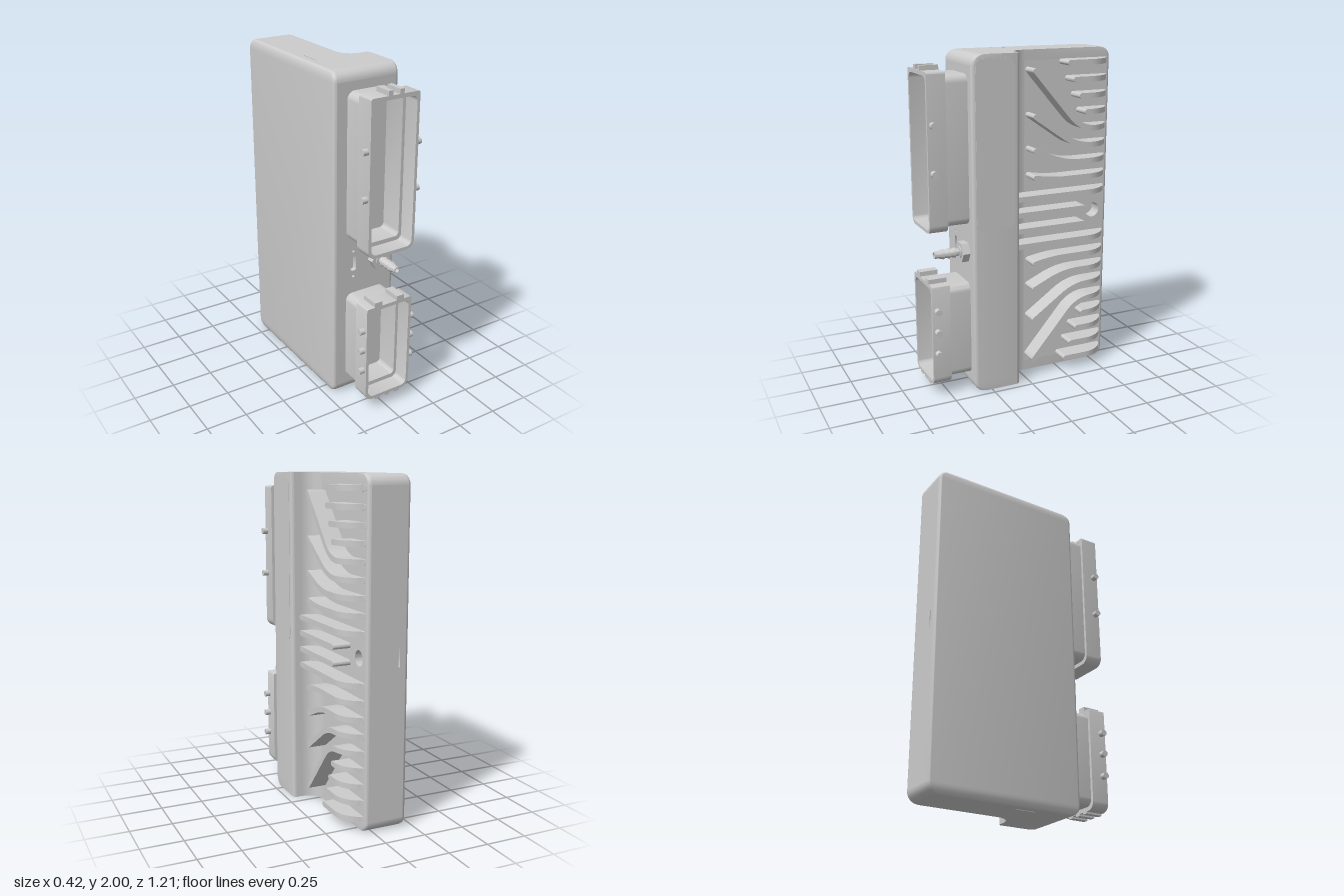
import * as THREE from 'three';
import { toCreasedNormals } from 'three/addons/utils/BufferGeometryUtils.js';

const PI = Math.PI;
const grey = new THREE.MeshStandardMaterial({ color: 0xcccccc });
const greyDouble = new THREE.MeshStandardMaterial({ color: 0xcccccc, side: THREE.DoubleSide });

function add(parent, name, geometry, material = grey) {
  const mesh = new THREE.Mesh(geometry, material);
  mesh.name = name;
  parent.add(mesh);
  return mesh;
}

function arc(cx, cy, r, a0, a1, n = 6) {
  return Array.from({ length: n + 1 }, (_, i) => {
    const a = a0 + (a1 - a0) * i / n;
    return new THREE.Vector2(cx + r * Math.cos(a), cy + r * Math.sin(a));
  });
}

// Rounded rectangle, with its own radius for the upper corners
function rounded(x0, y0, x1, y1, r, rTop = r) {
  return new THREE.Shape([
    ...arc(x0 + r, y0 + r, r, PI, 1.5 * PI), ...arc(x1 - r, y0 + r, r, 1.5 * PI, 2 * PI),
    ...arc(x1 - rTop, y1 - rTop, rTop, 0, PI / 2), ...arc(x0 + rTop, y1 - rTop, rTop, PI / 2, PI)]);
}

function plate(shape, depth, holes = []) {
  shape.holes.push(...holes);
  return toCreasedNormals(new THREE.ExtrudeGeometry(shape, { depth, bevelEnabled: false, curveSegments: 12 }), 0.6);
}

// Skin over closed rings; skip(i, j) leaves a quad open
function loft(rings, skip = () => false) {
  const n = rings[0].length, index = [];
  for (let i = 0; i < rings.length - 1; i++) for (let j = 0; j < n; j++) {
    if (skip(i, j)) continue;
    const k = (j + 1) % n, a = i * n + j, b = i * n + k;
    index.push(a, b, b + n, a, b + n, a + n);
  }
  const g = new THREE.BufferGeometry().setFromPoints(rings.flat());
  g.setIndex(index);
  return toCreasedNormals(g, 0.6);
}

// Housing: stepped plan (x, -z) lofted upwards with rounded ends
function housing() {
  const group = new THREE.Group();
  group.name = 'housing';
  const plan = [
    ...arc(-0.188, -0.337, 0.02, PI, 1.5 * PI), ...arc(0.187, -0.337, 0.02, 1.5 * PI, 2 * PI),
    ...arc(0.187, -0.085, 0.02, 0, PI / 2), ...arc(0.15, 0.035, 0.1, 1.5 * PI, PI),
    ...arc(0.03, 0.583, 0.02, 0, PI / 2), ...arc(-0.188, 0.583, 0.02, PI / 2, PI)];
  const R = 0.06, N = 6;
  const inset = d => plan.map(p => new THREE.Vector2(
    p.x < -0.1 ? p.x + d / 3 : p.x, p.y > 0.5 ? p.y - d : p.y < -0.25 ? p.y + d : p.y));
  const rings = [];
  for (let k = 0; k <= 2 * N + 1; k++) {
    const low = k <= N, a = (low ? N - k : k - N - 1) / N * PI / 2;
    const y = R * (1 - Math.sin(a));
    rings.push(inset(R * (1 - Math.cos(a))).map(p => new THREE.Vector3(p.x, low ? y : 2 - y, -p.y)));
  }
  // front, side and back faces are filled by panels with recesses
  add(group, 'housingShell', loft(rings, (i, j) => i === N && [6, 27, 34].includes(j)));

  // end faces with a narrow through slot
  const slot = [[-0.154, -0.085], [-0.146, -0.085], [-0.146, 0.04], [-0.154, 0.04]].map(p => new THREE.Vector2(...p));
  for (const y of [0, 2]) {
    const shape = new THREE.Shape(inset(R));
    shape.holes.push(new THREE.Path(slot));
    add(group, y ? 'topFace' : 'bottomFace', new THREE.ShapeGeometry(shape).rotateX(-PI / 2), greyDouble).position.y = y;
  }
  add(group, 'throughSlot', loft([0, 2].map(y => slot.map(p => new THREE.Vector3(p.x, y, -p.y)))), greyDouble);

  const panel = (name, u0, u1, depth, holes) => {
    const g = new THREE.Group();
    g.name = name;
    const outline = () => new THREE.Shape([[u0, R], [u1, R], [u1, 2 - R], [u0, 2 - R]].map(p => new THREE.Vector2(...p)));
    add(g, name + 'Skin', plate(outline(), depth, holes)).position.z = -depth;
    add(g, name + 'RecessFloor', new THREE.ShapeGeometry(outline())).position.z = -depth;
    group.add(g);
    return g;
  };
  const dot = (x, y, r) => new THREE.Shape(arc(x, y, r, 0, 2 * PI, 32).slice(0, -1));
  panel('frontFace', -0.188, 0.187, 0.03,
    [rounded(-0.093, 0.815, -0.057, 0.905, 0.012), dot(-0.075, 0.94, 0.008), dot(-0.075, 0.78, 0.008)]).position.z = 0.357;
  const back = panel('backFace', -0.03, 0.188, 0.04, [rounded(0.146, 0.95, 0.154, 1.06, 0.003)]);
  back.rotation.y = PI;
  back.position.z = -0.603;
  const side = panel('finBase', 0.035, 0.583, 0.08, [dot(0.505, 1.0, 0.046)]);
  side.rotation.y = PI / 2;
  side.position.x = 0.05;

  // shallow label plate on the raised block
  const label = add(group, 'labelPlate', plate(rounded(-0.335, 1.0, -0.1, 1.975, 0.04), 0.003));
  label.rotation.y = PI / 2;
  label.position.x = 0.206;
  return group;
}

// Cooling fin: front end, bend corner and back end in the (-z, y) plane
function fin(y, frontW, frontY, cornerW, endW) {
  const a = new THREE.Vector2(frontW, frontY), c = new THREE.Vector2(cornerW, y), e = new THREE.Vector2(endW, y);
  const bend = Math.min(0.1, (cornerW - frontW) * 0.9);
  const p = c.clone().add(a.clone().sub(c).setLength(bend));
  const q = new THREE.Vector2(cornerW + bend, y);
  const path = new THREE.CurvePath();
  path.add(new THREE.LineCurve(a, p));
  path.add(new THREE.QuadraticBezierCurve(p, c, q));
  path.add(new THREE.LineCurve(q, e));
  const L = path.getLength(), r = 0.016, stations = [];
  for (let k = 0; k <= 4; k++) stations.push([r * (1 - Math.cos(k * PI / 8)), r * Math.sin(k * PI / 8)]);
  for (let k = 1; k < 36; k++) stations.push([r + (L - 2 * r) * k / 36, r]);
  for (let k = 4; k >= 0; k--) stations.push([L - r * (1 - Math.cos(k * PI / 8)), r * Math.sin(k * PI / 8)]);
  return loft(stations.map(([s, half]) => {
    const h = Math.max(half, 1e-4), m = path.getPointAt(s / L), t = path.getTangentAt(s / L);
    // crest falls away in an arc towards the back
    const top = m.x < 0.42 ? 0.16 : Math.max(0.05, Math.sqrt(Math.max(0, 0.165 ** 2 - (m.x - 0.42) ** 2)) - 0.005);
    return [[0.045, -h], [top, -h], [top, h], [0.045, h]].map(([x, o]) =>
      new THREE.Vector3(x, m.y - t.x * o, -m.x - t.y * o));
  }));
}

function coolingFins() {
  const group = new THREE.Group();
  group.name = 'coolingFins';
  const rows = [
    [1.925, 0.26, 1.925, 0.36, 0.583], [1.827, 0.3, 1.827, 0.4, 0.583],
    [1.731, 0.34, 1.731, 0.42, 0.583], [1.635, 0.378, 1.635, 0.44, 0.583],
    [1.537, 0.045, 1.9, 0.357, 0.583], [1.438, 0.045, 1.636, 0.331, 0.583],
    [1.342, 0.045, 1.433, 0.25, 0.583], [1.246, 0.045, 1.27, 0.16, 0.583],
    [1.147, -0.065, 1.147, 0.2, 0.583], [1.051, -0.065, 1.051, 0.2, 0.403]];
  for (const [y, w, fy, c, e] of rows) {
    add(group, 'upperFin', fin(y, w, fy, c, e));
    add(group, 'lowerFin', fin(2.004 - y, w, 2.004 - fy, c, e));
  }
  return group;
}

// Plug socket: neck, wider collar, keying tabs and side pegs
function socket(name, y0, y1, pegs, topTabs, bottomTabs) {
  const group = new THREE.Group();
  group.name = name;
  add(group, 'socketNeck', plate(rounded(-0.125, y0 + 0.025, 0.145, y1 - 0.022, 0.045), 0.145,
    [rounded(-0.105, y0 + 0.045, 0.13, y1 - 0.045, 0.025)])).position.z = 0.35;
  add(group, 'socketCollar', plate(rounded(-0.143, y0, 0.165, y1, 0.05, 0.012), 0.11,
    [rounded(-0.125, y0 + 0.02, 0.148, y1 - 0.022, 0.035)])).position.z = 0.493;
  // inner shoulder between collar and neck
  add(group, 'socketShoulder', plate(rounded(-0.13, y0 + 0.01, 0.153, y1 - 0.01, 0.04), 0.01,
    [rounded(-0.105, y0 + 0.045, 0.13, y1 - 0.045, 0.025)])).position.z = 0.494;
  const tab = (x, y, w, h) => add(group, 'keyTab', new THREE.BoxGeometry(w, h, 0.11)).position.set(x, y, 0.548);
  for (const [x, w] of topTabs) tab(x, y1 + 0.01, w, 0.034);
  for (const [x, w] of bottomTabs) tab(x, y0, w, 0.022);
  for (const y of pegs) for (const s of [-1, 1])
    add(group, 'sidePeg', new THREE.CylinderGeometry(0.019, 0.019, 0.04, 20).rotateZ(PI / 2))
      .position.set(0.011 + s * 0.167, y, 0.573);
  return group;
}

// Barbed hose fitting with hex nut
function hoseFitting() {
  const group = new THREE.Group();
  group.name = 'hoseFitting';
  add(group, 'hexNut', toCreasedNormals(new THREE.CylinderGeometry(0.064, 0.064, 0.045, 6).rotateY(PI / 6), 0.6).rotateX(PI / 2))
    .position.z = 0.0225;
  const profile = [[0.036, 0.04], [0.036, 0.052], [0.022, 0.052], [0.022, 0.075]];
  for (const z of [0.075, 0.11, 0.145]) profile.push([0.03, z], [0.03, z + 0.005], [0.021, z + 0.035]);
  profile.push([0.021, 0.203], [0.013, 0.203], [0.013, 0.06], [0, 0.06]);
  const barb = new THREE.LatheGeometry(profile.map(p => new THREE.Vector2(...p)), 28).rotateX(PI / 2);
  add(group, 'hoseBarb', toCreasedNormals(barb, 0.5), greyDouble);
  group.position.set(0.09, 0.86, 0.355);
  return group;
}

export function createModel() {
  const model = new THREE.Group();
  model.name = 'controlUnit';
  model.add(
    housing(),
    coolingFins(),
    socket('upperSocket', 1.005, 1.912, [1.625, 1.355], [[-0.024, 0.028], [0.048, 0.028]], []),
    socket('lowerSocket', 0.075, 0.695, [0.545, 0.415, 0.28], [[-0.065, 0.05], [0.085, 0.05]],
      [[-0.058, 0.036], [0.011, 0.036], [0.08, 0.036]]),
    hoseFitting());
  return model;
}
